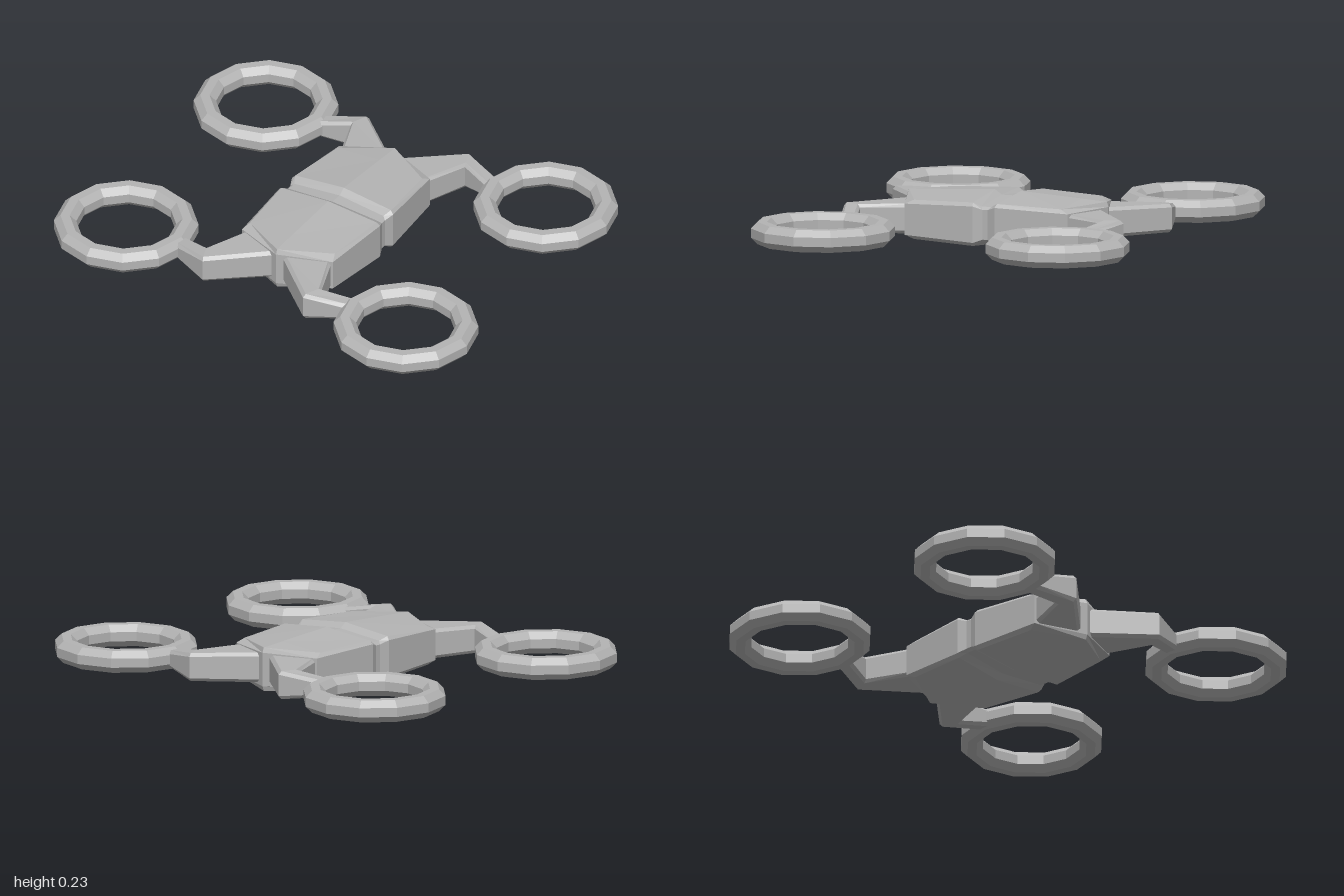
import * as THREE from 'three';

const MID = 0.115; // height of the horizontal symmetry plane

// Skin a list of closed point loops, cap both ends, and orient the faces outward.
function loft(loops) {
  const n = loops[0].length, tris = [];
  const add = (a, b, c) => {
    const area = new THREE.Triangle(a, b, c).getArea();
    if (area > 1e-8) tris.push([a, b, c]);
  };
  for (let s = 0; s + 1 < loops.length; s++) {
    for (let i = 0; i < n; i++) {
      const j = (i + 1) % n, A = loops[s], B = loops[s + 1];
      add(A[i], A[j], B[j]);
      add(A[i], B[j], B[i]);
    }
  }
  const first = loops[0], last = loops[loops.length - 1];
  for (let i = 1; i + 1 < n; i++) {
    add(first[0], first[i + 1], first[i]);
    add(last[0], last[i], last[i + 1]);
  }
  let volume = 0;
  for (const [a, b, c] of tris) volume += a.dot(b.clone().cross(c));
  if (volume < 0) tris.forEach((t) => t.reverse());
  const geometry = new THREE.BufferGeometry().setFromPoints(tris.flat());
  geometry.computeVertexNormals();
  return geometry;
}

// Body station: ridge [y, z], bevelled shoulder [x, y, z], side wall [x, y, z]; mirrored in x and y.
function bodyLoop([ridge, shoulder, wall]) {
  const v = (p, sx, sy) => new THREE.Vector3(p[0] * sx, MID + (p[1] - MID) * sy, p[2]);
  const r = [0, ...ridge];
  return [
    v(r, 1, 1), v(shoulder, 1, 1), v(wall, 1, 1), v(wall, 1, -1), v(shoulder, 1, -1),
    v(r, 1, -1), v(shoulder, -1, -1), v(wall, -1, -1), v(wall, -1, 1), v(shoulder, -1, 1),
  ];
}

function bodyGeometry() {
  // front half, from the nose back to the waist groove
  const half = [
    [[0.208, 0.452], [0, 0.208, 0.452], [0, 0.187, 0.46]],
    [[0.215, 0.335], [0.212, 0.198, 0.335], [0.226, 0.181, 0.372]],
    [[0.23, 0.06], [0.238, 0.207, 0.055], [0.252, 0.192, 0.05]],
    [[0.209, 0.028], [0.222, 0.19, 0.022], [0.236, 0.178, 0.012]],
  ];
  const back = half.slice().reverse().map((station) =>
    station.map((p) => [...p.slice(0, -1), -p[p.length - 1]]));
  return loft([...half, ...back].map(bodyLoop));
}

// Bent arm: bevelled cross-sections between an outer and an inner plan line.
function armGeometry(sx, sz) {
  const stations = [ // outer x, z, inner x, z, half height
    [0.02, 0.44, 0.2, 0.33, 0.064],
    [0.25, 0.638, 0.285, 0.55, 0.06],
    [0.42, 0.58, 0.42, 0.505, 0.037],
  ];
  return loft(stations.map(([ox, oz, ix, iz, h]) => {
    const bevel = 0.014 / Math.hypot(ix - ox, iz - oz);
    const at = (t, y) => new THREE.Vector3(
      sx * (ox + (ix - ox) * t), MID + y, sz * (oz + (iz - oz) * t));
    const low = h - 0.014;
    return [
      at(bevel, h), at(1 - bevel, h), at(1, low), at(1, -low),
      at(1 - bevel, -h), at(bevel, -h), at(0, -low), at(0, low),
    ];
  }));
}

// Twelve-sided guard ring with an octagonal tube, flat on top and bottom.
function ringGeometry() {
  const profile = [];
  for (let i = 0; i <= 8; i++) {
    const a = (i + 0.5) * Math.PI / 4;
    profile.push(new THREE.Vector2(0.256 + Math.cos(a) * 0.051, Math.sin(a) * 0.051));
  }
  return new THREE.LatheGeometry(profile.reverse().map((p) => p), 12);
}

export function createModel() {
  const model = new THREE.Group();
  model.name = 'quadcopter';
  const grey = new THREE.MeshStandardMaterial({ color: 0xb4b4b4, flatShading: true });
  grey.name = 'light grey';
  grey.side = THREE.DoubleSide;

  const addPart = (name, geometry) => {
    const mesh = new THREE.Mesh(geometry, grey);
    mesh.name = name;
    model.add(mesh);
    return mesh;
  };

  addPart('body', bodyGeometry());

  const ring = ringGeometry();
  for (const sx of [1, -1]) {
    for (const sz of [1, -1]) {
      const corner = (sz > 0 ? 'front' : 'back') + (sx > 0 ? 'Left' : 'Right');
      addPart(corner + 'Arm', armGeometry(sx, sz));
      addPart(corner + 'Ring', ring).position.set(sx * 0.697, MID + 0.001, sz * 0.536);
    }
  }
  return model;
}
